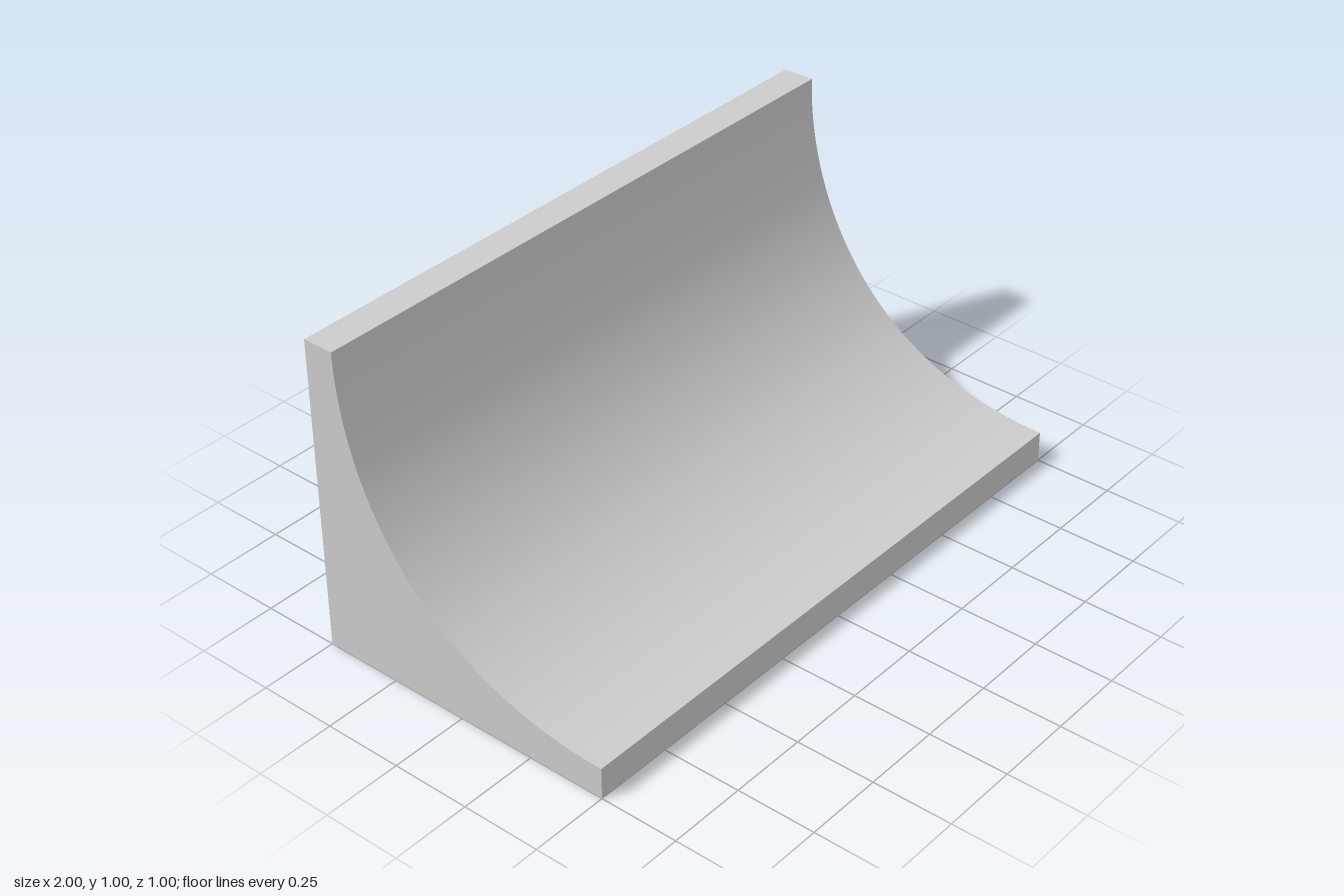
import * as THREE from 'three';
import { toCreasedNormals } from 'three/addons/utils/BufferGeometryUtils.js';

export function createModel() {
  const group = new THREE.Group();
  const length = 2;

  // Side profile: flat base and back, concave front sweep (shape x is -z)
  const profile = new THREE.Shape();
  profile.moveTo(-0.5, 0);
  profile.lineTo(0.5, 0);
  profile.lineTo(0.5, 1);
  profile.lineTo(0.4, 1);
  profile.bezierCurveTo(0.4, 0.577, 0.13, 0.1, -0.5, 0.1);
  profile.closePath();

  // Extrude along the length, then turn so the length runs along x
  const extruded = new THREE.ExtrudeGeometry(profile, {
    depth: length, bevelEnabled: false, curveSegments: 48,
  });
  extruded.translate(0, 0, -length / 2);
  extruded.rotateY(Math.PI / 2);

  const ramp = new THREE.Mesh(
    toCreasedNormals(extruded, 0.5),
    new THREE.MeshStandardMaterial({ color: 0xcccccc })
  );
  ramp.name = 'curvedRamp';
  group.add(ramp);
  return group;
}
